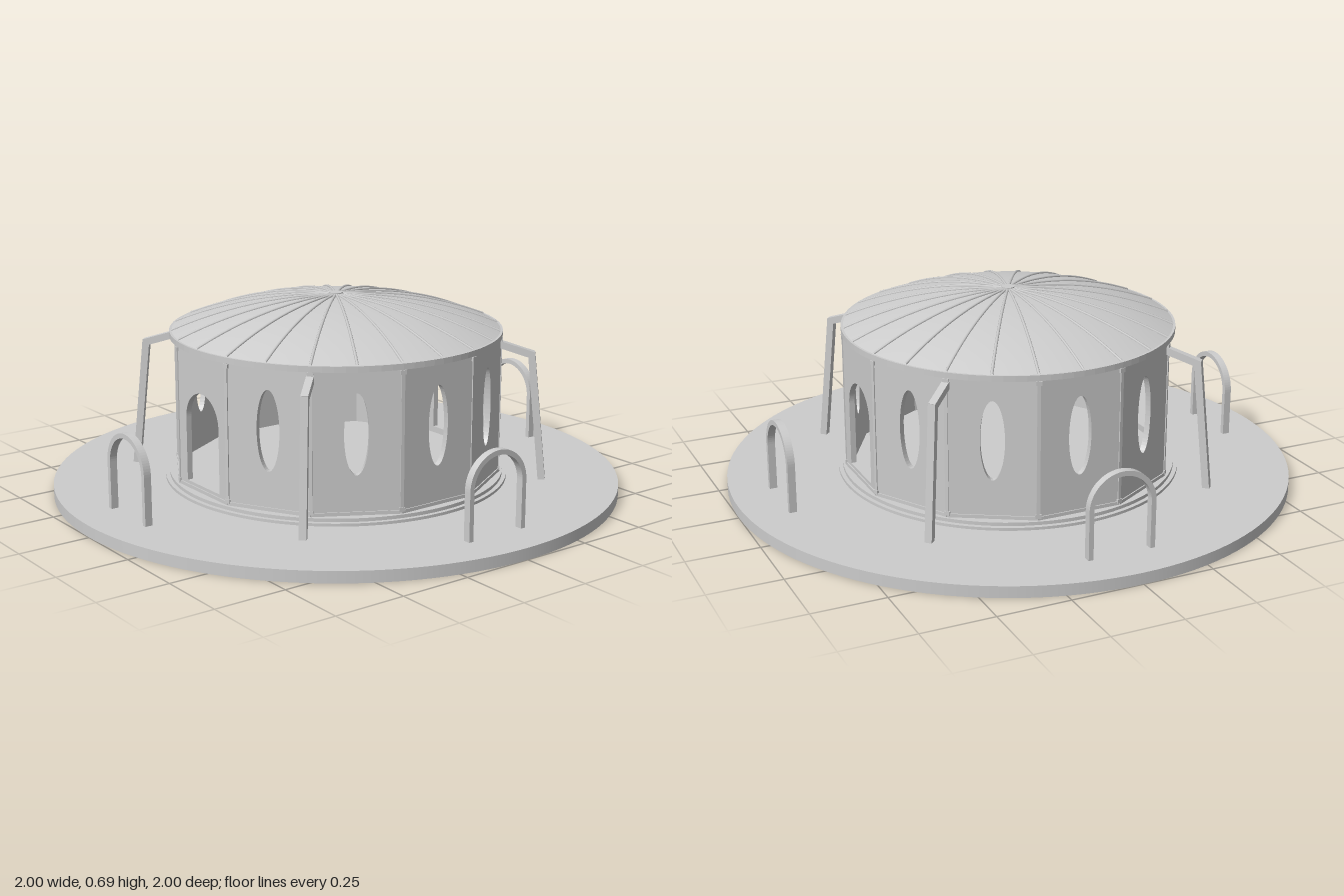
import * as THREE from 'three';

const stone = new THREE.MeshStandardMaterial({ color: 0xcccccc });
stone.name = 'light grey';
const shellGrey = stone.clone(); // same grey for the open roof shell
shellGrey.side = THREE.DoubleSide;

const CORNER = 0.58;                                  // corner radius of the twelve-sided wall
const APOTHEM = CORNER * Math.cos(Math.PI / 12);
const HALF = CORNER * Math.sin(Math.PI / 12);
const BOTTOM = 0.06, TOP = 0.555, THICK = 0.02;

function add(parent, name, geometry, x = 0, y = 0, z = 0, material = stone) {
  const mesh = new THREE.Mesh(geometry, material);
  mesh.name = name;
  mesh.position.set(x, y, z);
  parent.add(mesh);
  return mesh;
}

// Group turned about the vertical axis; angle 0 faces +z
function turned(parent, name, angle) {
  const g = new THREE.Group();
  g.name = name;
  g.rotation.y = angle;
  parent.add(g);
  return g;
}

function disc(parent, name, radius, y0, y1, sides = 96) {
  add(parent, name, new THREE.CylinderGeometry(radius, radius, y1 - y0, sides), 0, (y0 + y1) / 2, 0);
}

// Wall panel with an oval window or an arched doorway
function panelGeometry(isDoor) {
  const s = new THREE.Shape();
  s.moveTo(-HALF, BOTTOM).lineTo(HALF, BOTTOM).lineTo(HALF, TOP).lineTo(-HALF, TOP).closePath();
  const hole = new THREE.Path();
  if (isDoor) {
    hole.moveTo(-0.1, 0.085);
    hole.lineTo(-0.1, 0.31);
    hole.absarc(0, 0.31, 0.1, Math.PI, 0, true);
    hole.lineTo(0.1, 0.085);
    hole.closePath();
  } else {
    hole.absellipse(0, 0.335, 0.041, 0.138, 0, Math.PI * 2, true);
  }
  s.holes.push(hole);
  return new THREE.ExtrudeGeometry(s, { depth: THICK, bevelEnabled: false, curveSegments: 24 });
}

// Hoop: flat bar bent into an arch
function hoopGeometry() {
  const R = 0.119, r = 0.102, spring = 0.205;
  const s = new THREE.Shape();
  s.moveTo(R, 0.03);
  s.lineTo(R, spring);
  s.absarc(0, spring, R, 0, Math.PI, false);
  s.lineTo(-R, 0.03);
  s.lineTo(-r, 0.03);
  s.lineTo(-r, spring);
  s.absarc(0, spring, r, Math.PI, 0, true);
  s.lineTo(r, 0.03);
  s.closePath();
  return new THREE.ExtrudeGeometry(s, { depth: 0.026, bevelEnabled: false, curveSegments: 20 });
}

// Square bar between two points in the y-z plane
function bar(parent, name, y0, z0, y1, z1, size) {
  const length = Math.hypot(y1 - y0, z1 - z0);
  const m = add(parent, name, new THREE.BoxGeometry(size, length + size * 0.6, size), 0, (y0 + y1) / 2, (z0 + z1) / 2);
  m.rotation.x = Math.atan2(z1 - z0, y1 - y0);
}

// Roof height at a given distance from the axis (shallow spherical cap)
const RISE = 0.115, EAVE_Y = 0.567, EAVE_R = 0.575;
const SPHERE = (EAVE_R ** 2 + RISE ** 2) / (2 * RISE);
const roofY = (r) => EAVE_Y + RISE - SPHERE + Math.sqrt(SPHERE ** 2 - r ** 2);

export function createModel() {
  const model = new THREE.Group();
  model.name = 'pavilion';

  // Ground plate and stepped plinth
  disc(model, 'groundPlate', 1, 0, 0.04, 128);
  disc(model, 'lowerStep', 0.607, 0.04, 0.05);
  disc(model, 'upperStep', 0.592, 0.05, 0.062);

  // Twelve wall panels, doors at front and back, posts at the corners
  const door = panelGeometry(true), window = panelGeometry(false);
  for (let i = 0; i < 12; i++) {
    const isDoor = i % 6 === 0;
    const bay = turned(model, 'wallBay', i * Math.PI / 6);
    add(bay, isDoor ? 'doorPanel' : 'windowPanel', isDoor ? door : window, 0, 0, APOTHEM - THICK);
    add(bay, 'skirting', new THREE.BoxGeometry(HALF * 2, 0.014, 0.006), 0, 0.067, APOTHEM + 0.001);

    const corner = turned(model, 'cornerPost', (i + 0.5) * Math.PI / 6);
    add(corner, 'post', new THREE.BoxGeometry(0.012, TOP - BOTTOM, 0.014), 0, (TOP + BOTTOM) / 2, CORNER - 0.005);
    for (const y of [0.075, 0.538])
      add(corner, 'postBlock', new THREE.BoxGeometry(0.02, 0.014, 0.016), 0, y, CORNER - 0.004);
  }

  // Domed roof shell
  const profile = [];
  for (let i = 0; i <= 12; i++) {
    const r = EAVE_R * (1 - i / 12);
    profile.push(new THREE.Vector2(r, roofY(r)));
  }
  add(model, 'roof', new THREE.LatheGeometry(profile, 96), 0, 0, 0, shellGrey);

  // Eave ring
  const ring = new THREE.Shape();
  ring.absarc(0, 0, 0.583, 0, Math.PI * 2, false);
  const inner = new THREE.Path();
  inner.absarc(0, 0, 0.54, 0, Math.PI * 2, true);
  ring.holes.push(inner);
  const eave = new THREE.ExtrudeGeometry(ring, { depth: 0.02, bevelEnabled: false, curveSegments: 48 });
  eave.rotateX(-Math.PI / 2);
  add(model, 'eaveRing', eave, 0, 0.547, 0);

  // Roof ribs meeting at a small cap
  const ribPoints = [];
  for (let i = 0; i <= 8; i++) {
    const r = 0.01 + (EAVE_R - 0.01) * i / 8;
    ribPoints.push(new THREE.Vector3(0, roofY(r) + 0.001, r));
  }
  const rib = new THREE.TubeGeometry(new THREE.CatmullRomCurve3(ribPoints), 16, 0.005, 6);
  for (let i = 0; i < 24; i++) add(turned(model, 'roofRib', i * Math.PI / 12), 'rib', rib);
  disc(model, 'roofCap', 0.024, 0.675, 0.69, 24);

  // Bent braces on the diagonals and hoops on the axes
  const hoop = hoopGeometry();
  for (let i = 0; i < 4; i++) {
    const brace = turned(model, 'brace', Math.PI / 4 + i * Math.PI / 2);
    bar(brace, 'braceArm', 0.523, 0.575, 0.49, 0.685, 0.025);
    bar(brace, 'braceLeg', 0.49, 0.685, 0.035, 0.732, 0.025);

    add(turned(model, 'hoop', i * Math.PI / 2), 'hoopBar', hoop, 0, 0, 0.832);
  }
  return model;
}
